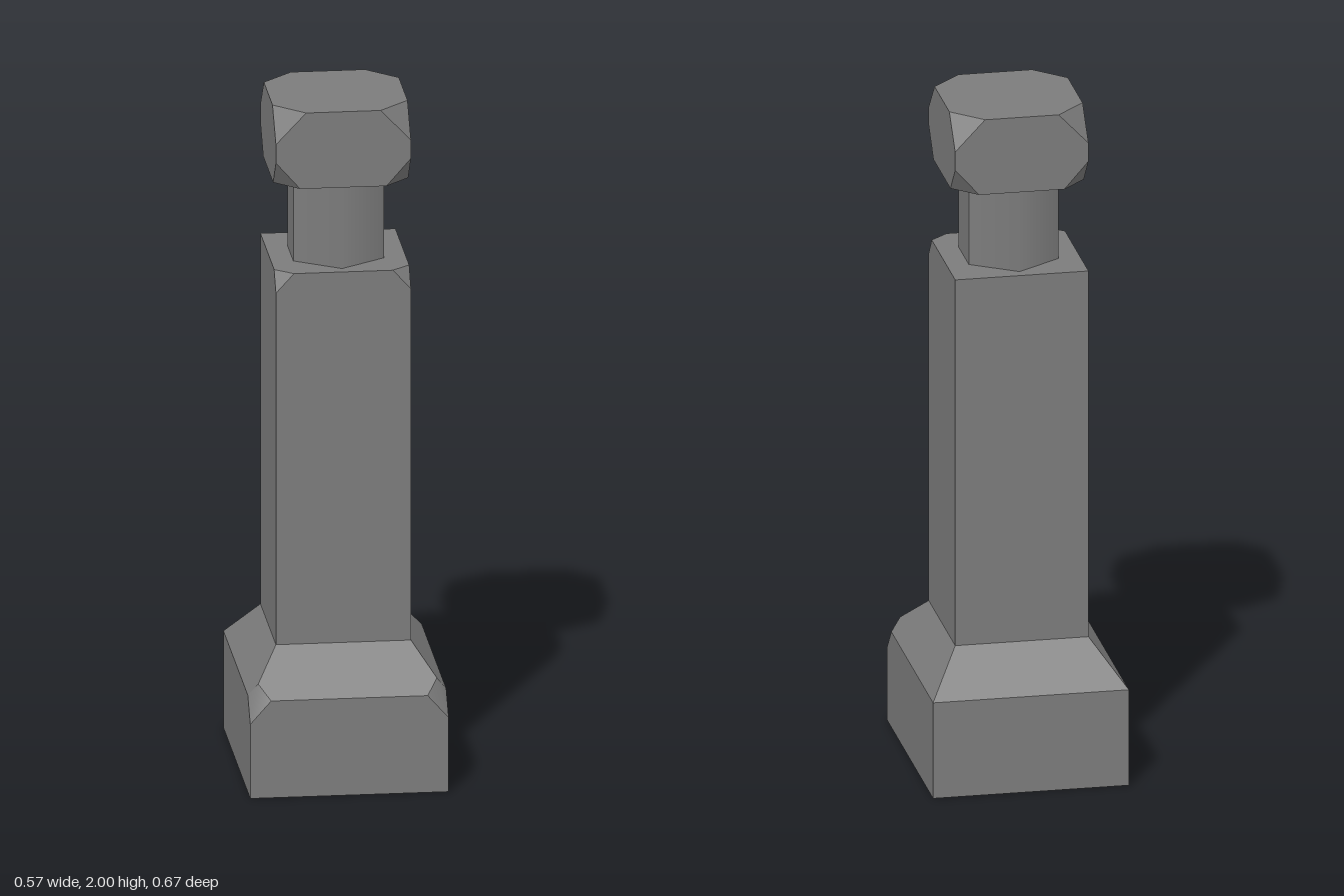
import * as THREE from 'three';
import { ConvexGeometry } from 'three/addons/geometries/ConvexGeometry.js';
import { toCreasedNormals } from 'three/addons/utils/BufferGeometryUtils.js';

const V = (x, y, z) => new THREE.Vector3(x, y, z);
const HALF = 0.194, FRONT = 0.186, BACK = -0.203; // shaft and head footprint

// Points that replace one box corner; cut = [x, y, z] lengths along its edges
function corner(x, y, z, inY, cut) {
  if (!cut) return [V(x, y, z)];
  return [
    V(x - Math.sign(x) * cut[0], y, z),
    V(x, y + inY * cut[1], z),
    V(x, y, z - Math.sign(z) * cut[2]),
  ];
}

// Box on the shared footprint, cutAt(top, front) gives the corner cut or null
function cutBox(y0, y1, cutAt) {
  const points = [];
  for (const x of [-HALF, HALF])
    for (const z of [BACK, FRONT])
      for (const top of [false, true])
        points.push(...corner(x, top ? y1 : y0, z, top ? -1 : 1, cutAt(top, z > 0)));
  return new ConvexGeometry(points);
}

// Plinth with sloped shoulders and softly chipped front corners
function plinthGeometry() {
  const points = [];
  for (const s of [-1, 1]) {
    const rim = V(s * 0.285, 0.29, 0.337), hip = V(s * HALF, 0.41, FRONT);
    points.push(
      V(s * 0.285, 0, 0.337), V(s * 0.285, 0, -0.337), V(s * 0.285, 0.29, -0.337),
      V(s * HALF, 0.41, BACK), hip,
      V(s * 0.285, 0.222, 0.337), V(s * 0.225, 0.29, 0.337), V(s * 0.285, 0.29, 0.275),
      rim.clone().lerp(hip, 0.31),
    );
  }
  return toCreasedNormals(new ConvexGeometry(points), 0.45);
}

// Six-sided neck: narrow flat sides, soft ridge at the front and back
function neckGeometry() {
  const geo = new THREE.CylinderGeometry(0.162, 0.162, 0.255, 6).toNonIndexed();
  geo.scale(0.93, 1, 1);
  const p = geo.attributes.position, n = geo.attributes.normal;
  const onRidge = (i) => Math.abs(p.getX(i)) < 0.01;
  for (let i = 0; i < p.count; i++)
    if (!onRidge(i)) p.setZ(i, p.getZ(i) * 0.92);
  geo.computeVertexNormals();
  for (let i = 0; i < p.count; i++)
    if (onRidge(i) && Math.abs(n.getY(i)) < 0.5) n.setXYZ(i, 0, 0, Math.sign(p.getZ(i)));
  return geo.translate(0, 1.6475, -0.008);
}

export function createModel() {
  const group = new THREE.Group();
  const material = new THREE.MeshStandardMaterial({ color: 0x7c7c7c });
  const add = (name, geometry) => {
    const mesh = new THREE.Mesh(geometry, material);
    mesh.name = name;
    group.add(mesh);
  };
  add('plinth', plinthGeometry());
  add('shaft', cutBox(0.41, 1.52, (top, front) => (top && front ? [0.052, 0.057, 0.045] : null)));
  add('neck', neckGeometry());
  add('head', cutBox(1.773, 2, (top) => (top ? [0.087, 0.092, 0.086] : [0.07, 0.08, 0.07])));
  return group;
}
